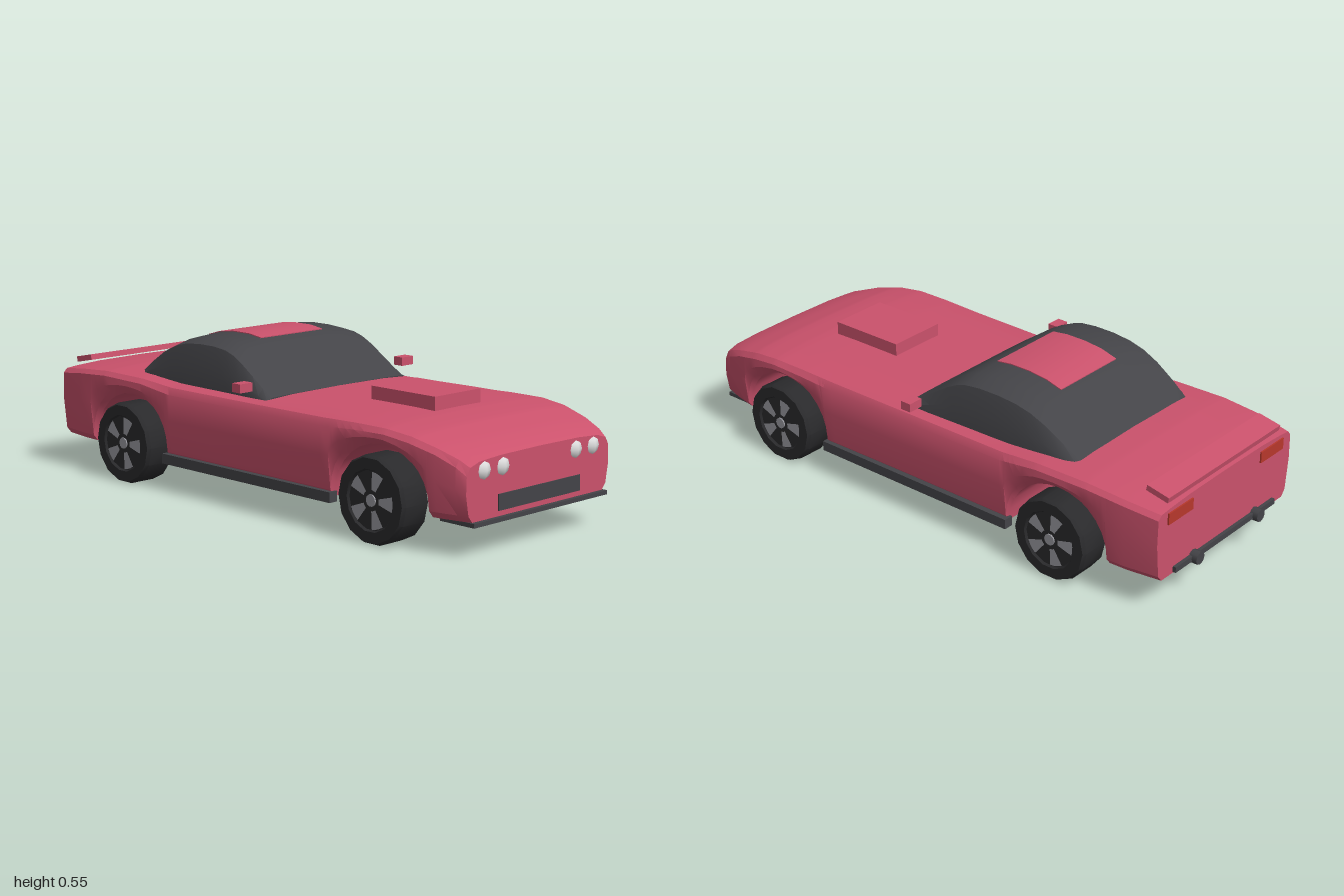
import * as THREE from 'three';
import { toCreasedNormals } from 'three/addons/utils/BufferGeometryUtils.js';

const material = (name, color) => Object.assign(new THREE.MeshStandardMaterial({ color }), { name });
const paint = material('rose paint', 0xcb526c);
const dark = material('charcoal trim', 0x444448);
const rubber = material('black rubber', 0x2a2a2c);
const alloy = material('grey alloy', 0x98989e);
const lamp = material('white lamp', 0xdedede);
const tail = material('red lamp', 0xb8382c);

// Mirror a half outline (bottom centre, up the +x side, to top centre) into a full ring
const mirrored = (half) => [...half, ...half.slice(1, -1).reverse().map(([x, y]) => [-x, y])];

// Skin rings of [x, y] ordered from front to back, with capped ends
function loft(sections, crease = 0.55) {
  const n = sections[0].ring.length, pos = [], idx = [];
  for (const { z, ring } of sections) for (const [x, y] of ring) pos.push(x, y, z);
  for (let i = 0; i < sections.length - 1; i++) {
    for (let j = 0; j < n; j++) {
      const k = (j + 1) % n, a = i * n + j, b = i * n + k;
      idx.push(a, a + n, b, b, a + n, b + n);
    }
  }
  for (const i of [0, sections.length - 1]) {
    const { z, ring } = sections[i], c = pos.length / 3;
    const ys = ring.map((p) => p[1]);
    pos.push(0, (Math.min(...ys) + Math.max(...ys)) / 2, z);
    for (let j = 0; j < n; j++) {
      const a = i * n + j, b = i * n + ((j + 1) % n);
      if (i === 0) idx.push(c, a, b); else idx.push(c, b, a);
    }
  }
  const g = new THREE.BufferGeometry();
  g.setAttribute('position', new THREE.Float32BufferAttribute(pos, 3));
  g.setIndex(idx);
  return toCreasedNormals(g, crease);
}

// Linear lookup in a table whose first column is a descending z
function sample(table, z) {
  let i = 0;
  while (i < table.length - 2 && z < table[i + 1][0]) i++;
  const a = table[i], b = table[i + 1], t = (z - a[0]) / (b[0] - a[0]);
  return a.map((v, k) => v + (b[k] - v) * t);
}

// z, half width, shoulder height, top height
const BODY = [
  [0.985, 0.347, 0.265, 0.312], [0.95, 0.358, 0.29, 0.33], [0.88, 0.374, 0.32, 0.352],
  [0.78, 0.388, 0.345, 0.378], [0.68, 0.395, 0.358, 0.388], [0.55, 0.395, 0.355, 0.391],
  [0.4, 0.393, 0.346, 0.391], [0.1, 0.39, 0.345, 0.388], [-0.35, 0.39, 0.345, 0.388],
  [-0.5, 0.394, 0.366, 0.396], [-0.7, 0.394, 0.37, 0.398], [-0.85, 0.388, 0.36, 0.388],
  [-0.97, 0.37, 0.345, 0.373],
];
// z, half width, roof height
const CABIN = [
  [0.095, 0.342, 0.388], [0.05, 0.341, 0.418], [0, 0.34, 0.457], [-0.06, 0.338, 0.502],
  [-0.1, 0.337, 0.526], [-0.14, 0.336, 0.541], [-0.2, 0.335, 0.549], [-0.28, 0.334, 0.549],
  [-0.35, 0.332, 0.541], [-0.41, 0.33, 0.524], [-0.47, 0.327, 0.493], [-0.54, 0.322, 0.443],
  [-0.61, 0.312, 0.39],
];
const FRONT_AXLE = 0.645, REAR_AXLE = -0.578, ARCH = 0.207;

// Body shell with wheel arches cut up into its floor
function bodyGeometry() {
  const stations = BODY.map((r) => r[0]);
  for (const c of [FRONT_AXLE, REAR_AXLE])
    for (let k = 0; k <= 14; k++) stations.push(c + ARCH * Math.cos((k * Math.PI) / 14));
  stations.sort((a, b) => b - a);
  return loft(stations.map((z) => {
    const [, w, ys, yt] = sample(BODY, z);
    let yb = 0.118;
    for (const c of [FRONT_AXLE, REAR_AXLE]) {
      const d = (z - c) / ARCH;
      yb += 0.2 * Math.sqrt(Math.max(0, 1 - d * d));
    }
    const side = ys - yb, crown = yt - ys;
    return { z, ring: mirrored([
      [0, yb], [w - 0.03, yb], [w - 0.012, yb + Math.min(0.022, side * 0.3)],
      [w, yb + side * 0.6], [w - 0.002, ys], [w - 0.017, ys + crown * 0.55],
      [w - 0.06, yt - 0.008], [w * 0.55, yt - 0.002], [0, yt],
    ]) };
  }));
}

function cabinGeometry() {
  const base = 0.365;
  return loft(CABIN.map(([z, w, top]) => {
    const h = top - base;
    return { z, ring: mirrored([
      [0, base], [w, base], [w - 0.005, base + h * 0.45], [w - 0.026, base + h * 0.86],
      [w * 0.72, base + h * 0.965], [w * 0.44, top], [0, top],
    ]) };
  }), 0.6);
}

// Thin panel that follows the roof curve
function roofPanelGeometry() {
  return loft(CABIN.filter(([z]) => z <= -0.139 && z >= -0.411).map(([z, , y]) => ({
    z, ring: mirrored([[0, y - 0.005], [0.148, y - 0.005], [0.148, y + 0.003], [0, y + 0.003]]),
  })));
}

export function createModel() {
  const car = new THREE.Group();
  car.name = 'sportsCar';
  const add = (name, geometry, mat, x = 0, y = 0, z = 0, parent = car) => {
    const m = new THREE.Mesh(geometry, mat);
    m.name = name;
    m.position.set(x, y, z);
    parent.add(m);
    return m;
  };
  const box = (name, mat, sx, sy, sz, x, y, z) => add(name, new THREE.BoxGeometry(sx, sy, sz), mat, x, y, z);

  add('body', bodyGeometry(), paint);
  add('cabin', cabinGeometry(), dark);
  add('roofPanel', roofPanelGeometry(), paint);
  box('hoodScoop', paint, 0.22, 0.055, 0.284, 0, 0.407, 0.497);
  box('grille', dark, 0.397, 0.053, 0.009, 0, 0.162, 0.984);
  box('frontLip', dark, 0.65, 0.014, 0.14, 0, 0.111, 0.93);
  box('rearWing', paint, 0.62, 0.02, 0.085, 0, 0.398, -0.921).rotation.x = -0.2;
  box('rearBar', dark, 0.56, 0.02, 0.02, 0, 0.132, -0.972);

  // Wheel pieces, outer face toward +x
  const tyreProfile = [[0, -0.06], [0.138, -0.06], [0.145, -0.052], [0.145, 0.045], [0.138, 0.058],
    [0.102, 0.058], [0.097, 0.05], [0, 0.05]].map(([r, h]) => new THREE.Vector2(r, h));
  const tyre = toCreasedNormals(new THREE.LatheGeometry(tyreProfile, 14).rotateZ(-Math.PI / 2), 0.6);
  const spoke = new THREE.RingGeometry(0.034, 0.093, 3, 1, -0.27, 0.54).rotateY(Math.PI / 2);
  const hub = new THREE.CylinderGeometry(0.02, 0.02, 0.006, 10).rotateZ(-Math.PI / 2);
  const exhaust = new THREE.CylinderGeometry(0.023, 0.023, 0.045, 8).rotateX(Math.PI / 2);
  const headlight = new THREE.SphereGeometry(0.035, 8, 6).scale(1, 1, 0.8);

  for (const s of [1, -1]) {
    const side = s > 0 ? 'left' : 'right';
    for (const [end, z] of [['Front', FRONT_AXLE], ['Rear', REAR_AXLE]]) {
      const wheel = new THREE.Group();
      wheel.name = side + end + 'Wheel';
      wheel.position.set(s * 0.356, 0.145, z);
      if (s < 0) wheel.rotation.y = Math.PI;
      add('tyre', tyre, rubber, 0, 0, 0, wheel);
      add('hub', hub, alloy, 0.052, 0, 0, wheel);
      for (let k = 0; k < 5; k++)
        add('spoke', spoke, alloy, 0.0525, 0, 0, wheel).rotation.x = (k * Math.PI * 2) / 5;
      car.add(wheel);
    }
    for (const x of [0.178, 0.265]) add(side + 'Headlight', headlight, lamp, s * x, 0.273, 0.97);
    box(side + 'Mirror', paint, 0.056, 0.03, 0.04, s * 0.389, 0.422, 0.03);
    box(side + 'Skirt', dark, 0.035, 0.035, 0.83, s * 0.378, 0.118, 0.033);
    box(side + 'TailLight', tail, 0.13, 0.04, 0.009, s * 0.255, 0.332, -0.971);
    add(side + 'Exhaust', exhaust, dark, s * 0.172, 0.132, -0.9775);
  }
  return car;
}
